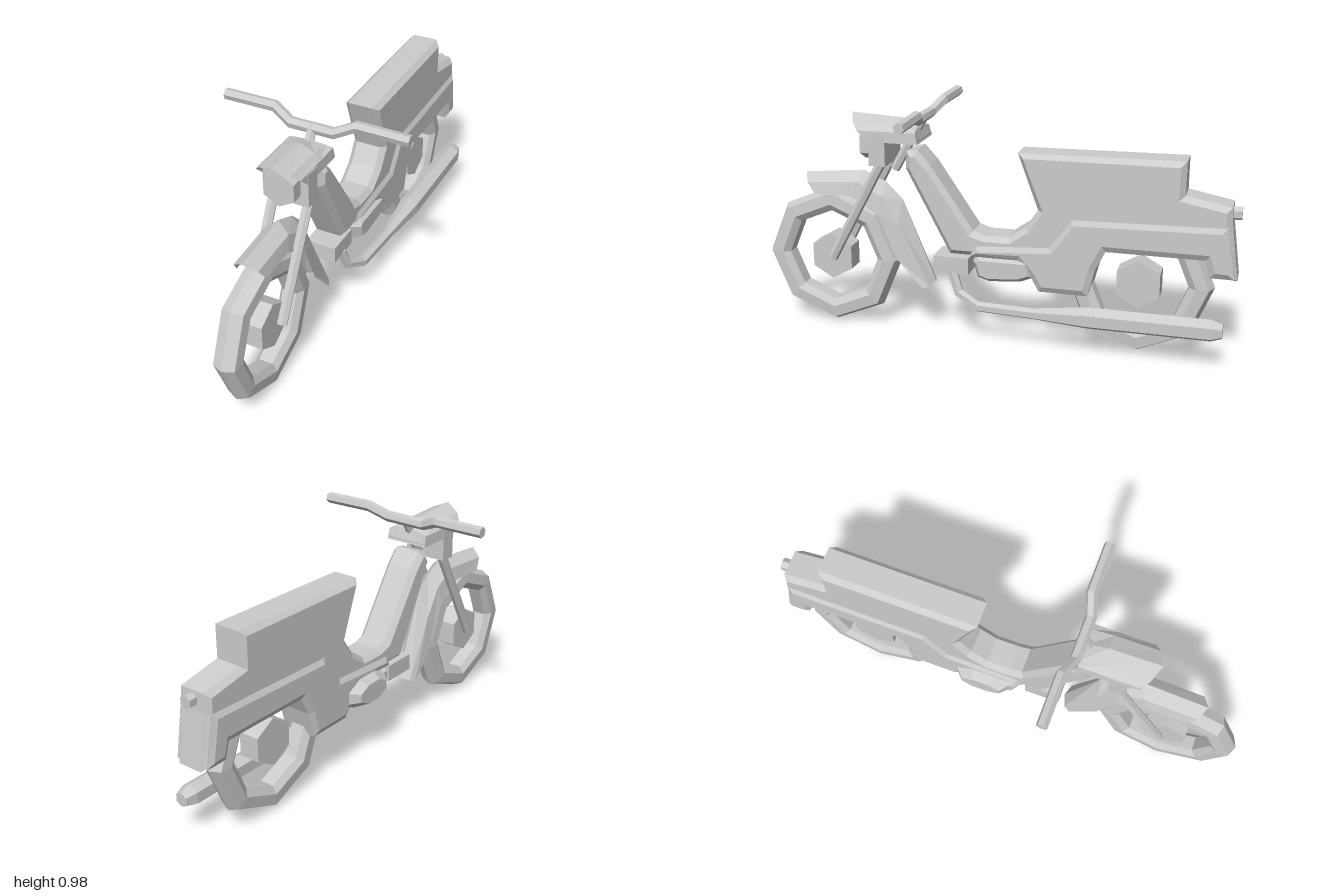
import * as THREE from 'three';

export function createModel() {
  const model = new THREE.Group();
  const mat = new THREE.MeshStandardMaterial({ color: 0xcccccc, flatShading: true });
  const thin = mat.clone();
  thin.side = THREE.DoubleSide;

  const add = (name, geo, x = 0, y = 0, z = 0, m = mat) => {
    const mesh = new THREE.Mesh(geo, m);
    mesh.name = name;
    mesh.position.set(x, y, z);
    model.add(mesh);
    return mesh;
  };

  // Side profile of [z, y] points, extruded across x with chamfered edges
  const sideExtrude = (pts, halfWidth, thick, size) => {
    const shape = new THREE.Shape(pts.map(p => new THREE.Vector2(p[0], p[1])));
    const depth = 2 * (halfWidth - thick);
    return new THREE.ExtrudeGeometry(shape, {
      depth, bevelThickness: thick, bevelSize: size, bevelOffset: -size, bevelSegments: 1,
    }).translate(0, 0, -depth / 2).rotateY(-Math.PI / 2);
  };

  // Surface through rows of [x, y, z] points
  const loft = (rows, closed = false, caps = false) => {
    const n = rows[0].length, pos = rows.flat(2), idx = [];
    for (let i = 0; i < rows.length - 1; i++)
      for (let j = 0; j < (closed ? n : n - 1); j++) {
        const a = i * n + j, b = i * n + (j + 1) % n;
        idx.push(a, b, a + n, b, b + n, a + n);
      }
    if (caps) {
      const last = (rows.length - 1) * n;
      for (let j = 1; j < n - 1; j++) idx.push(0, j + 1, j, last, last + j, last + j + 1);
    }
    const g = new THREE.BufferGeometry();
    g.setAttribute('position', new THREE.Float32BufferAttribute(pos, 3));
    g.setIndex(idx);
    g.computeVertexNormals();
    return g;
  };

  // Faceted pipe with straight mitred runs; each stop is [x, y, z, radius]
  const pipe = (stops, sides = 6) => {
    const v = stops.map(s => new THREE.Vector3(s[0], s[1], s[2]));
    const ref = new THREE.Vector3(0.31, 0.2, 0.93);
    if (Math.abs(v[v.length - 1].z - v[0].z) > 0.3) ref.set(0, 1, 0.01);
    return loft(stops.map((s, i) => {
      const t = v[Math.min(i + 1, v.length - 1)].clone().sub(v[Math.max(i - 1, 0)]).normalize();
      const u = ref.clone().addScaledVector(t, -ref.dot(t)).normalize();
      const w = t.clone().cross(u);
      return Array.from({ length: sides }, (_, k) => {
        const a = k / sides * Math.PI * 2;
        return v[i].clone().addScaledVector(u, s[3] * Math.cos(a))
          .addScaledVector(w, s[3] * Math.sin(a)).toArray();
      });
    }), true, true);
  };

  // Wheels: eight-sided tyre and six-sided hub
  const tyreProfile = [[0.2, -0.03], [0.23, -0.05], [0.28, -0.045], [0.3, 0],
    [0.28, 0.045], [0.23, 0.05], [0.2, 0.03], [0.2, -0.03]].map(p => new THREE.Vector2(...p));
  for (const [name, z] of [['front', 0.7], ['rear', -0.61]]) {
    add(name + 'Tyre', new THREE.LatheGeometry(tyreProfile, 8).rotateZ(Math.PI / 2), 0, 0.305, z, thin);
    add(name + 'Hub', new THREE.CylinderGeometry(0.1, 0.1, 0.09, 6)
      .rotateZ(Math.PI / 2).rotateX(0), 0, 0.305, z)
      .rotation.x = Math.PI / 2;
  }

  // Step-through frame, seat and tail in one profile
  add('body', sideExtrude([
    [0.355, 0.72], [0.35, 0.79], [0.305, 0.8], [0.25, 0.74], [0.07, 0.475], [0.02, 0.46],
    [-0.08, 0.46], [-0.15, 0.51], [-0.2, 0.585], [-0.115, 0.815], [-0.78, 0.825],
    [-0.78, 0.69], [-0.96, 0.655], [-0.965, 0.58], [-0.995, 0.36], [-0.89, 0.37],
    [-0.87, 0.44], [-0.48, 0.44], [-0.44, 0.37], [0.17, 0.37],
  ], 0.075, 0.022, 0.022));

  // Flared lower side panel around the wheel arch
  add('sidePanel', sideExtrude([
    [0.08, 0.37], [0.06, 0.42], [-0.25, 0.44], [-0.34, 0.565], [-0.95, 0.58], [-0.985, 0.37],
    [-0.89, 0.37], [-0.87, 0.44], [-0.48, 0.44], [-0.44, 0.36], [-0.41, 0.245],
    [-0.21, 0.245], [-0.18, 0.3], [-0.12, 0.37],
  ], 0.087, 0.014, 0.025));

  // Tail lamp
  add('tailLamp', new THREE.CylinderGeometry(0.027, 0.027, 0.04, 6).rotateX(Math.PI / 2), 0, 0.62, -0.975);

  // Engine and its right-hand cover
  add('engine', sideExtrude([[0.07, 0.35], [0.05, 0.28], [0, 0.265], [-0.13, 0.275],
    [-0.19, 0.3], [-0.17, 0.38], [0.05, 0.38]], 0.09, 0.03, 0.02));
  const cover = new THREE.CylinderGeometry(0.6, 1, 0.06, 8).rotateY(Math.PI / 8).rotateZ(Math.PI / 2);
  cover.scale(1, 0.075, 0.15);
  add('engineCover', cover, -0.095, 0.33, -0.09);
  add('engineBlock', new THREE.BoxGeometry(0.13, 0.07, 0.15), 0, 0.32, 0.165);

  // Exhaust pipe swelling into the muffler
  add('exhaust', pipe([
    [0.05, 0.29, 0.16, 0.022], [0.065, 0.205, 0.13, 0.022], [0.09, 0.16, 0.04, 0.022],
    [0.1, 0.157, -0.2, 0.024], [0.105, 0.165, -0.42, 0.046], [0.105, 0.165, -0.91, 0.046],
    [0.105, 0.165, -0.955, 0.03],
  ]));

  // Front fork, steering stem and handlebar
  for (const s of [1, -1])
    add('forkLeg', pipe([[s * 0.072, 0.31, 0.685, 0.021], [s * 0.072, 0.74, 0.455, 0.021]]));
  add('steeringStem', pipe([[0, 0.7, 0.42, 0.02], [0, 0.94, 0.285, 0.02]]));
  add('handlebar', pipe([
    [-0.385, 0.965, 0.262, 0.023], [-0.17, 0.965, 0.262, 0.023], [-0.09, 0.93, 0.288, 0.023],
    [0.09, 0.93, 0.288, 0.023], [0.17, 0.965, 0.262, 0.023], [0.385, 0.962, 0.262, 0.023],
  ]));

  // Front fender: ridge and edge as [z, y] at each station
  const fender = [
    [[0.82, 0.66], [0.76, 0.58]], [[0.56, 0.685], [0.6, 0.585]], [[0.46, 0.64], [0.48, 0.51]],
    [[0.39, 0.57], [0.405, 0.33]], [[0.25, 0.22], [0.29, 0.2]],
  ].map(([r, e]) => [[-0.062, 1], [-0.05, 0.4], [0, 0], [0.05, 0.4], [0.062, 1]].map(([x, k]) =>
    [x, r[1] + (e[1] - r[1]) * k, r[0] + (e[0] - r[0]) * k]));
  add('frontFender', loft(fender), 0, 0, 0, thin);

  // Headlight, its housing and the visor cowl above
  add('headlight', new THREE.CylinderGeometry(0.072, 0.072, 0.08, 6).rotateX(Math.PI / 2), 0, 0.81, 0.51);
  add('headlightHousing', new THREE.BoxGeometry(0.19, 0.14, 0.07), 0, 0.8, 0.465);
  const cowlRow = (zLow, zSide, zTop, top) => [
    [-0.095, 0.83, zLow], [-0.092, 0.875, zSide], [-0.065, 0.875 + (top - 0.875) * 0.5, (zSide + zTop) / 2],
    [0, top, zTop],
    [0.065, 0.875 + (top - 0.875) * 0.5, (zSide + zTop) / 2], [0.092, 0.875, zSide], [0.095, 0.83, zLow],
  ];
  const cowl = [cowlRow(0.5, 0.55, 0.6, 0.93), cowlRow(0.4, 0.4, 0.39, 0.92), cowlRow(0.29, 0.3, 0.31, 0.89)];
  add('cowl', loft(cowl), 0, 0, 0, thin);
  add('cowlFloor', new THREE.BoxGeometry(0.188, 0.012, 0.2), 0, 0.837, 0.392);
  add('cowlBack', loft([cowl[2], cowl[2].map(p => [p[0], 0.83, 0.29])]), 0, 0, 0, thin);

  return model;
}
